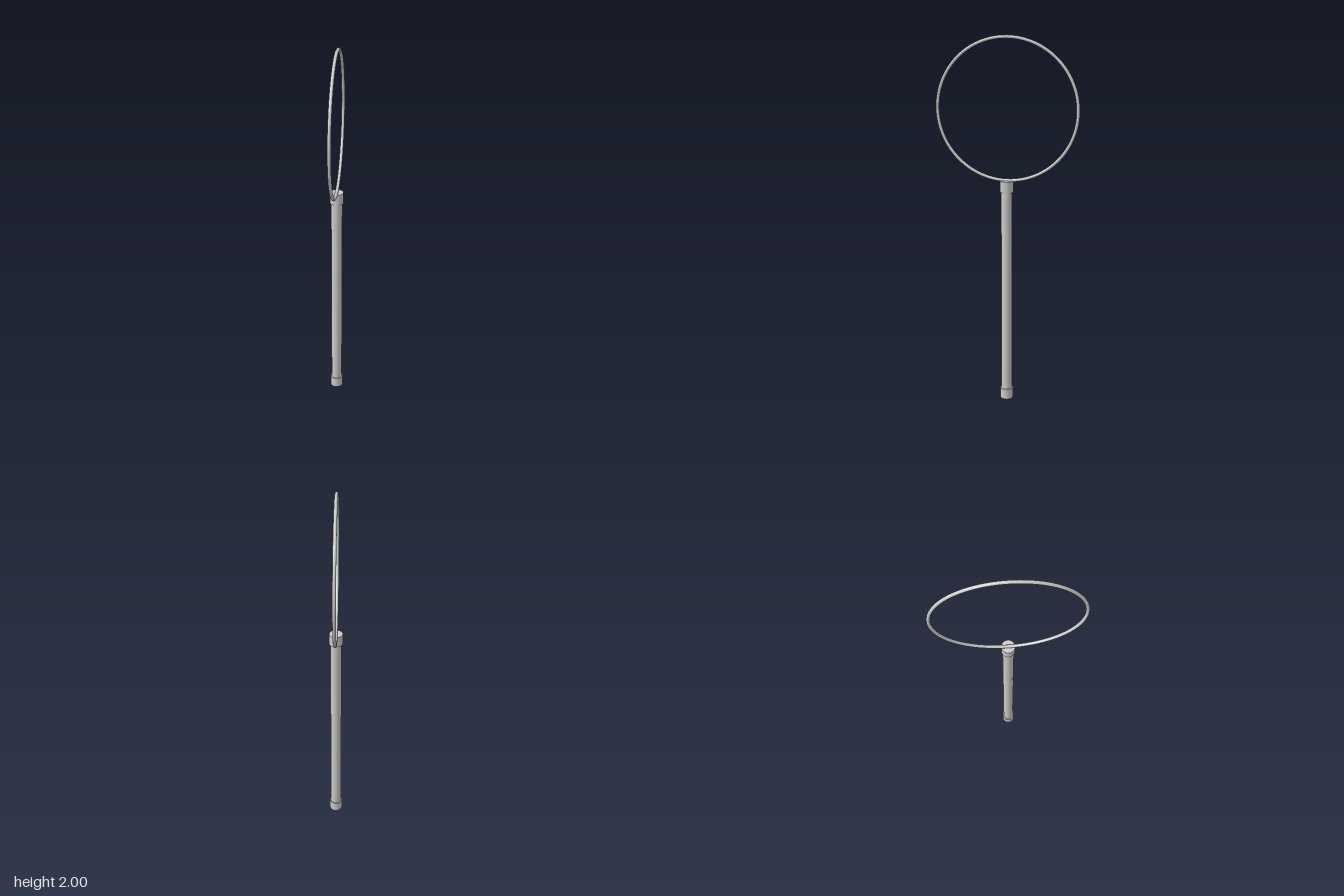
import * as THREE from 'three';

const SHAFT_RADIUS = 0.029;
const CAP_RADIUS = 0.035;
const CAP_HEIGHT = 0.06;
const HANDLE_TOP = 1.26;
const RING_OUTER = 0.373;
const RING_TUBE = 0.0085;

export function createModel() {
  const group = new THREE.Group();
  group.name = 'hoopWand';
  const material = new THREE.MeshStandardMaterial({ color: 0xcccccc });

  // Upright cylinder spanning y0 to y1
  function addCylinder(name, radius, y0, y1) {
    const geometry = new THREE.CylinderGeometry(radius, radius, y1 - y0, 32);
    const mesh = new THREE.Mesh(geometry, material);
    mesh.name = name;
    mesh.position.y = (y0 + y1) / 2;
    group.add(mesh);
  }

  // Handle with a wider collar at each end
  addCylinder('handleShaft', SHAFT_RADIUS, 0.01, HANDLE_TOP - 0.01);
  addCylinder('bottomCap', CAP_RADIUS, 0, CAP_HEIGHT);
  addCylinder('topCollar', CAP_RADIUS, HANDLE_TOP - CAP_HEIGHT, HANDLE_TOP);

  // Thin hoop in the y-z plane, sunk slightly into the collar
  const hoop = new THREE.Mesh(
    new THREE.TorusGeometry(RING_OUTER - RING_TUBE, RING_TUBE, 16, 96),
    material
  );
  hoop.name = 'hoop';
  hoop.rotation.y = Math.PI / 2;
  hoop.position.y = 2 - RING_OUTER;
  group.add(hoop);

  return group;
}
